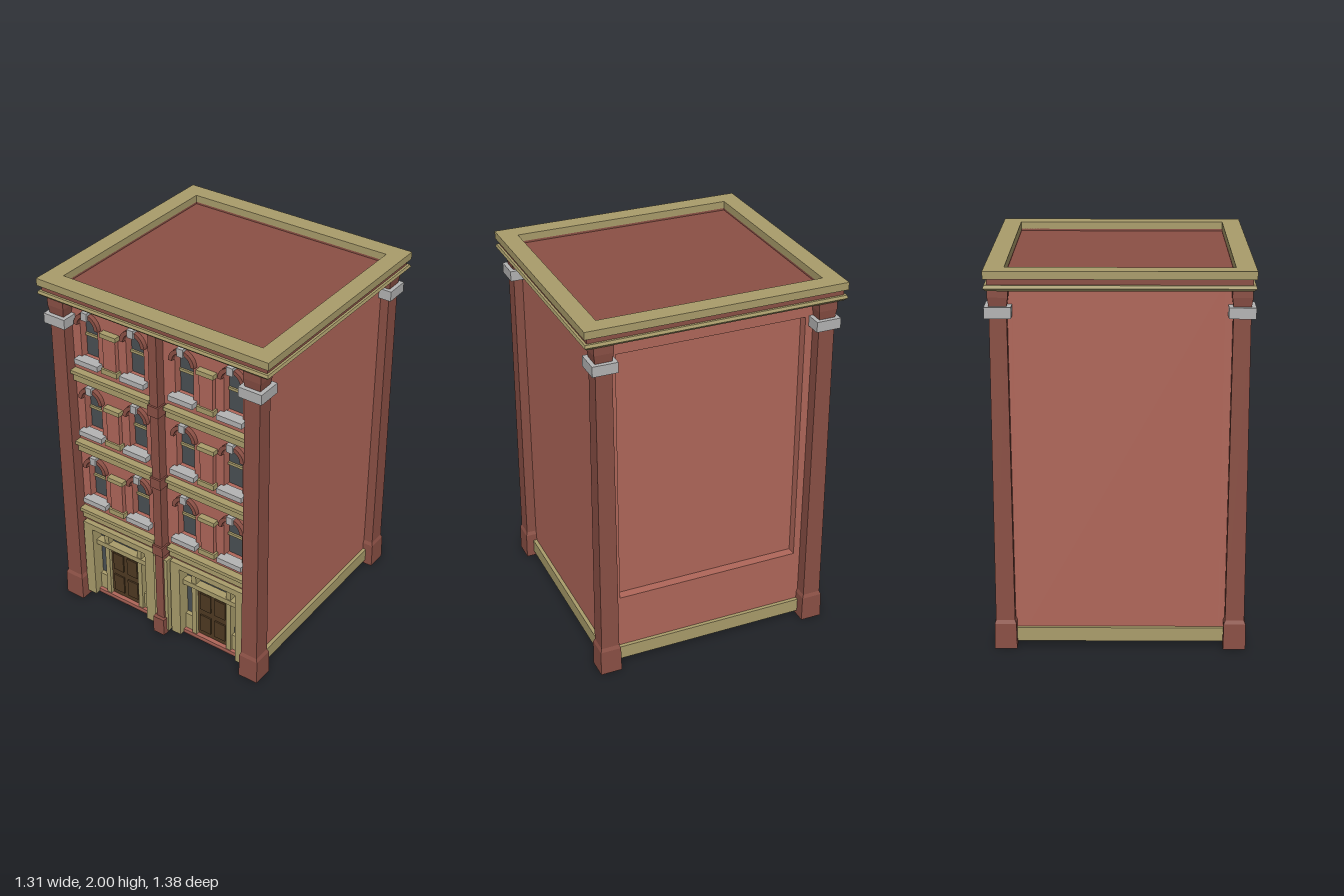
import * as THREE from 'three';

const mat = (color) => new THREE.MeshStandardMaterial({ color, flatShading: true });
const BRICK = mat(0xb0675a), DARK = mat(0x8b5045), TAN = mat(0xaa9d6b);
const STONE = mat(0xb4b4b4), GLASS = mat(0x4a5054), WOOD = mat(0x4f3a22);

function add(parent, name, geometry, material) {
  const mesh = new THREE.Mesh(geometry, material);
  mesh.name = name;
  parent.add(mesh);
  return mesh;
}

// Box given by its limits on each axis
function box(parent, name, material, x0, x1, y0, y1, z0, z1) {
  const mesh = add(parent, name, new THREE.BoxGeometry(x1 - x0, y1 - y0, z1 - z0), material);
  mesh.position.set((x0 + x1) / 2, (y0 + y1) / 2, (z0 + z1) / 2);
  return mesh;
}

// Four-sided prism: half widths at the bottom and the top
function taper(parent, name, material, y0, y1, bx, bz, tx, tz) {
  const g = new THREE.BoxGeometry(2, y1 - y0, 2);
  const p = g.attributes.position;
  for (let i = 0; i < p.count; i++) {
    const top = p.getY(i) > 0;
    p.setX(i, p.getX(i) * (top ? tx : bx));
    p.setZ(i, p.getZ(i) * (top ? tz : bz));
  }
  g.computeVertexNormals();
  const mesh = add(parent, name, g, material);
  mesh.position.y = (y0 + y1) / 2;
  return mesh;
}

function rect(target, x0, x1, y0, y1) {
  target.moveTo(x0, y0);
  target.lineTo(x1, y0);
  target.lineTo(x1, y1);
  target.lineTo(x0, y1);
  target.closePath();
  return target;
}

const extrude = (shape, depth) =>
  new THREE.ExtrudeGeometry(shape, { depth, bevelEnabled: false, curveSegments: 8 });

// Opening with a half-round head
function archHole(cx, r, y0, spring) {
  const hole = new THREE.Path();
  hole.moveTo(cx - r, y0);
  hole.lineTo(cx + r, y0);
  hole.lineTo(cx + r, spring);
  hole.absarc(cx, spring, r, 0, Math.PI, false);
  hole.closePath();
  return hole;
}

function cornerColumn(sx, sz) {
  const g = new THREE.Group();
  g.name = 'cornerColumn';
  taper(g, 'columnBase', DARK, 0, 0.14, 0.058, 0.058, 0.056, 0.056);
  taper(g, 'columnBaseChamfer', DARK, 0.14, 0.16, 0.056, 0.056, 0.048, 0.048);
  taper(g, 'columnShaft', DARK, 0.16, 1.77, 0.049, 0.049, 0.043, 0.043);
  taper(g, 'columnCap', STONE, 1.76, 1.815, 0.066, 0.066, 0.066, 0.066);
  taper(g, 'columnNeck', DARK, 1.81, 1.86, 0.043, 0.043, 0.05, 0.05);
  taper(g, 'columnHead', DARK, 1.86, 1.91, 0.05, 0.05, 0.05, 0.05);
  g.position.set(sx * 0.59, 0, sz * 0.59);
  return g;
}

// Decorated side, built facing +z with the wall face at z = 0.57
function facade() {
  const g = new THREE.Group();
  g.name = 'windowFacade';
  const floors = [0.58, 1.02, 1.46], F = 0.57, R = 0.055;
  const wall = rect(new THREE.Shape(), -0.585, 0.585, 0.03, 1.91);

  for (const s of [-1, 1]) {
    const c = s * 0.295;
    const span = (name, m, cx, half, y0, y1, z0, z1) => box(g, name, m, cx - half, cx + half, y0, y1, z0, z1);

    // Upper storeys: paired windows with a pier between them
    for (const f of floors) {
      for (const d of [-0.145, 0.145]) {
        const x = c + d, spring = f + 0.31;
        wall.holes.push(archHole(x, R, f + 0.11, spring));
        span('windowGlass', GLASS, x, R, f + 0.11, spring + R, 0.505, 0.525);
        span('windowRail', TAN, x, R, f + 0.225, f + 0.24, 0.525, 0.535);
        span('windowSill', STONE, x, 0.075, f + 0.085, f + 0.115, 0.55, 0.61);
        const hood = new THREE.Shape();
        hood.absarc(x, spring, R + 0.022, 0, Math.PI, false);
        hood.absarc(x, spring, R, Math.PI, 0, true);
        add(g, 'windowHood', extrude(hood, 0.025), DARK).position.z = F;
        span('keystone', STONE, x, 0.018, spring + R - 0.01, spring + R + 0.035, F, 0.605);
      }
      span('windowPier', BRICK, c, 0.04, f + 0.1, f + 0.3, F - 0.01, 0.595);
      span('pierBase', TAN, c, 0.05, f + 0.085, f + 0.115, F - 0.01, 0.605);
      span('pierCap', TAN, c, 0.05, f + 0.295, f + 0.32, F - 0.01, 0.605);
      // Floor band with a projecting lip
      span('floorBand', TAN, c, 0.25, f - 0.035, f + 0.015, F - 0.01, 0.59);
      span('floorBandLip', TAN, c, 0.25, f + 0.015, f + 0.035, F - 0.01, 0.61);
    }

    // Ground floor: door, side lights and transom in a tan frame
    wall.holes.push(rect(new THREE.Path(), c - 0.2, c + 0.2, 0.05, 0.5));
    span('shopGlass', GLASS, c, 0.2, 0.05, 0.5, 0.505, 0.525);
    span('door', WOOD, c, 0.1, 0.04, 0.37, 0.52, 0.545);
    for (const y of [0.08, 0.23]) {
      for (const d of [-0.047, 0.047]) span('doorPanel', WOOD, c + d, 0.034, y, y + 0.11, 0.54, 0.553);
    }
    span('transomBar', TAN, c, 0.2, 0.37, 0.4, 0.52, 0.57);
    span('shopLintel', TAN, c, 0.24, 0.485, 0.52, 0.52, 0.6);
    for (const d of [-1, 1]) {
      span('shopPilaster', TAN, c + d * 0.21, 0.03, 0.03, 0.49, 0.53, 0.6);
      span('doorPost', TAN, c + d * 0.112, 0.014, 0.05, 0.49, 0.52, 0.565);
      span('shopApron', TAN, c + d * 0.15, 0.035, 0.05, 0.15, 0.52, 0.55);
    }
  }
  add(g, 'facadeWall', extrude(wall, 0.06), BRICK).position.z = 0.51;

  // Central pilaster between the two bays
  box(g, 'centrePilaster', DARK, -0.025, 0.025, 0.1, 1.91, 0.56, 0.625);
  box(g, 'centrePilasterFoot', DARK, -0.035, 0.035, 0.015, 0.12, 0.56, 0.645);
  box(g, 'centrePilasterLower', TAN, -0.045, 0.045, 0.03, 0.52, 0.56, 0.615);
  for (const f of floors) box(g, 'centrePilasterBand', DARK, -0.033, 0.033, f - 0.03, f + 0.03, 0.56, 0.635);

  g.rotation.y = -Math.PI / 2;
  return g;
}

export function createModel() {
  const model = new THREE.Group();
  model.name = 'building';

  // Main block
  box(model, 'mainWalls', BRICK, -0.51, 0.52, 0.03, 1.93, -0.585, 0.585);
  box(model, 'floorSlab', DARK, -0.57, 0.57, 0.025, 0.035, -0.58, 0.58);

  // Side wall with a recessed panel
  const side = rect(new THREE.Shape(), -0.585, 0.585, 0.03, 1.91);
  side.holes.push(rect(new THREE.Path(), -0.505, 0.505, 0.4, 1.81));
  const sideWall = add(model, 'panelledWall', extrude(side, 0.05), BRICK);
  sideWall.rotation.y = Math.PI / 2;
  sideWall.position.x = 0.52;

  // Plinth strips on the plain sides
  for (const s of [-1, 1]) {
    box(model, 'plinth', TAN, -0.55, 0.55, 0.025, 0.1, s * 0.59 - 0.015, s * 0.59 + 0.015);
  }
  box(model, 'plinth', TAN, 0.56, 0.59, 0.025, 0.1, -0.55, 0.55);

  model.add(facade());
  for (const sx of [-1, 1]) for (const sz of [-1, 1]) model.add(cornerColumn(sx, sz));

  // Cornice and sunken roof
  taper(model, 'corniceLower', TAN, 1.9, 1.915, 0.64, 0.675, 0.655, 0.69);
  taper(model, 'corniceLip', TAN, 1.915, 1.93, 0.655, 0.69, 0.65, 0.685);
  taper(model, 'corniceFrieze', DARK, 1.925, 1.95, 0.638, 0.673, 0.638, 0.673);
  const rim = rect(new THREE.Shape(), -0.655, 0.655, -0.69, 0.69);
  rim.holes.push(rect(new THREE.Path(), -0.557, 0.557, -0.595, 0.595));
  const friezeRim = rect(new THREE.Shape(), -0.638, 0.638, -0.673, 0.673);
  friezeRim.holes.push(rect(new THREE.Path(), -0.557, 0.557, -0.595, 0.595));
  for (const [name, shape, y, depth, m] of [
    ['parapetRim', rim, 1.96, 0.04, TAN], ['parapetFrieze', friezeRim, 1.945, 0.016, DARK]]) {
    const mesh = add(model, name, extrude(shape, depth), m);
    mesh.rotation.x = -Math.PI / 2;
    mesh.position.y = y;
  }
  return model;
}
